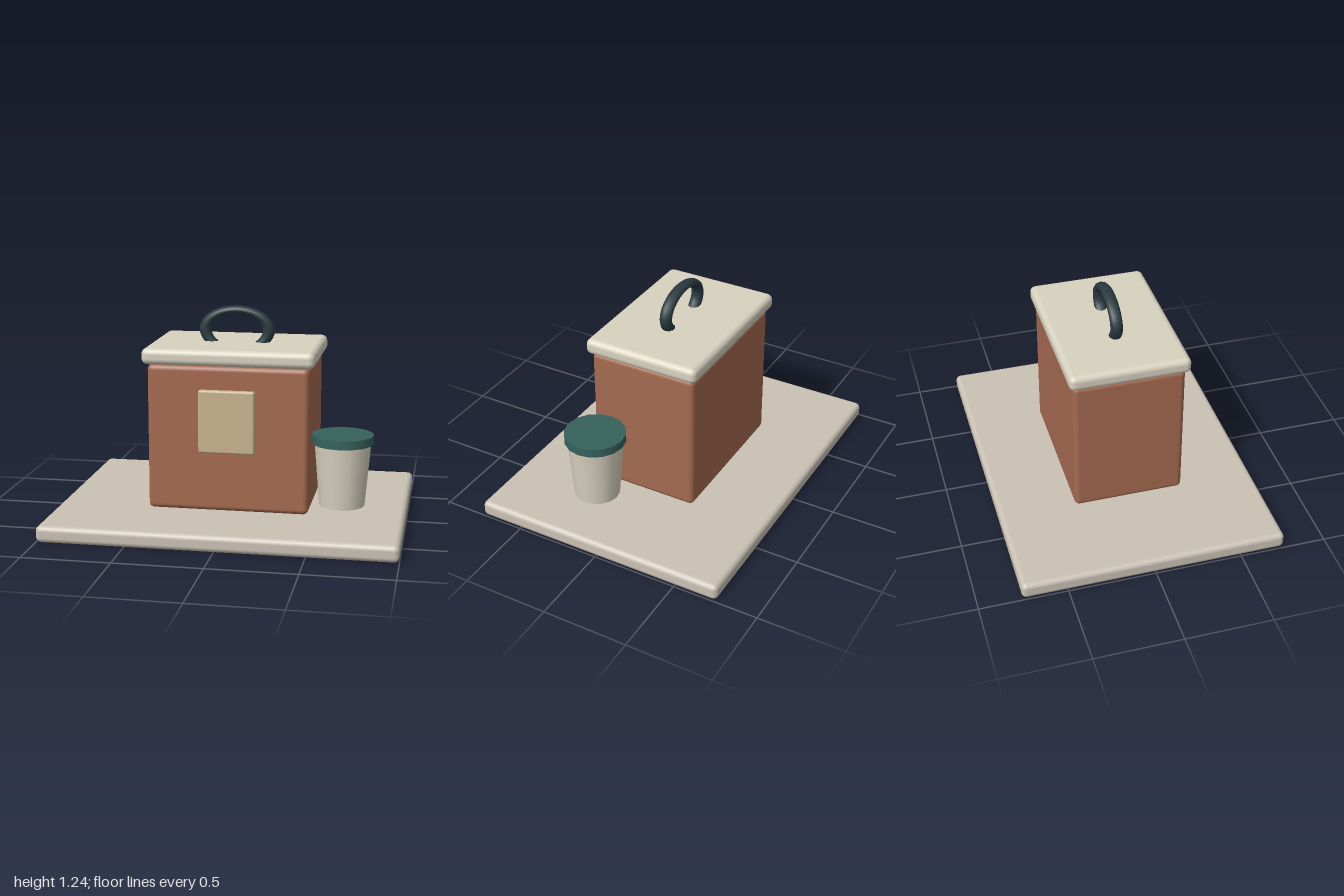
import * as THREE from 'three';
import { RoundedBoxGeometry } from 'three/addons/geometries/RoundedBoxGeometry.js';

const mat = (color) => new THREE.MeshStandardMaterial({ color });

export function createModel() {
  const group = new THREE.Group();
  const cream = mat(0xd8d2c0), stone = mat(0xcbc2b5), clay = mat(0xa56a50);
  const tan = mat(0xc9b48f), teal = mat(0x37625c), dark = mat(0x2a3a40);

  const add = (name, geometry, material, x, y, z) => {
    const mesh = new THREE.Mesh(geometry, material);
    mesh.name = name;
    mesh.position.set(x, y, z);
    group.add(mesh);
    return mesh;
  };
  // Rounded box given by its bottom and top heights
  const slab = (name, w, d, y0, y1, r, material, z = 0) =>
    add(name, new RoundedBoxGeometry(w, y1 - y0, d, 3, r), material, 0, (y0 + y1) / 2, z);

  // Base board, box, lid and front label
  slab('baseBoard', 2, 1.515, 0, 0.095, 0.03, stone);
  slab('boxBody', 0.92, 0.64, 0.102, 0.94, 0.03, clay);
  slab('boxLid', 0.98, 0.69, 0.94, 1.033, 0.035, cream);
  slab('frontLabel', 0.32, 0.04, 0.45, 0.81, 0.012, tan, 0.342);

  // Flattened ring handle, its lower part sunk into the lid
  const handle = add('lidHandle', new THREE.TorusGeometry(0.185, 0.035, 10, 40), dark, 0, 1.1, 0);
  handle.scale.y = 0.64;

  // Tapered cup with a wider lid
  add('cup', new THREE.CylinderGeometry(0.16, 0.13, 0.36, 16), cream, 0.64, 0.325, 0.2);
  add('cupLid', new THREE.CylinderGeometry(0.175, 0.175, 0.05, 16), teal, 0.64, 0.53, 0.2);

  return group;
}
